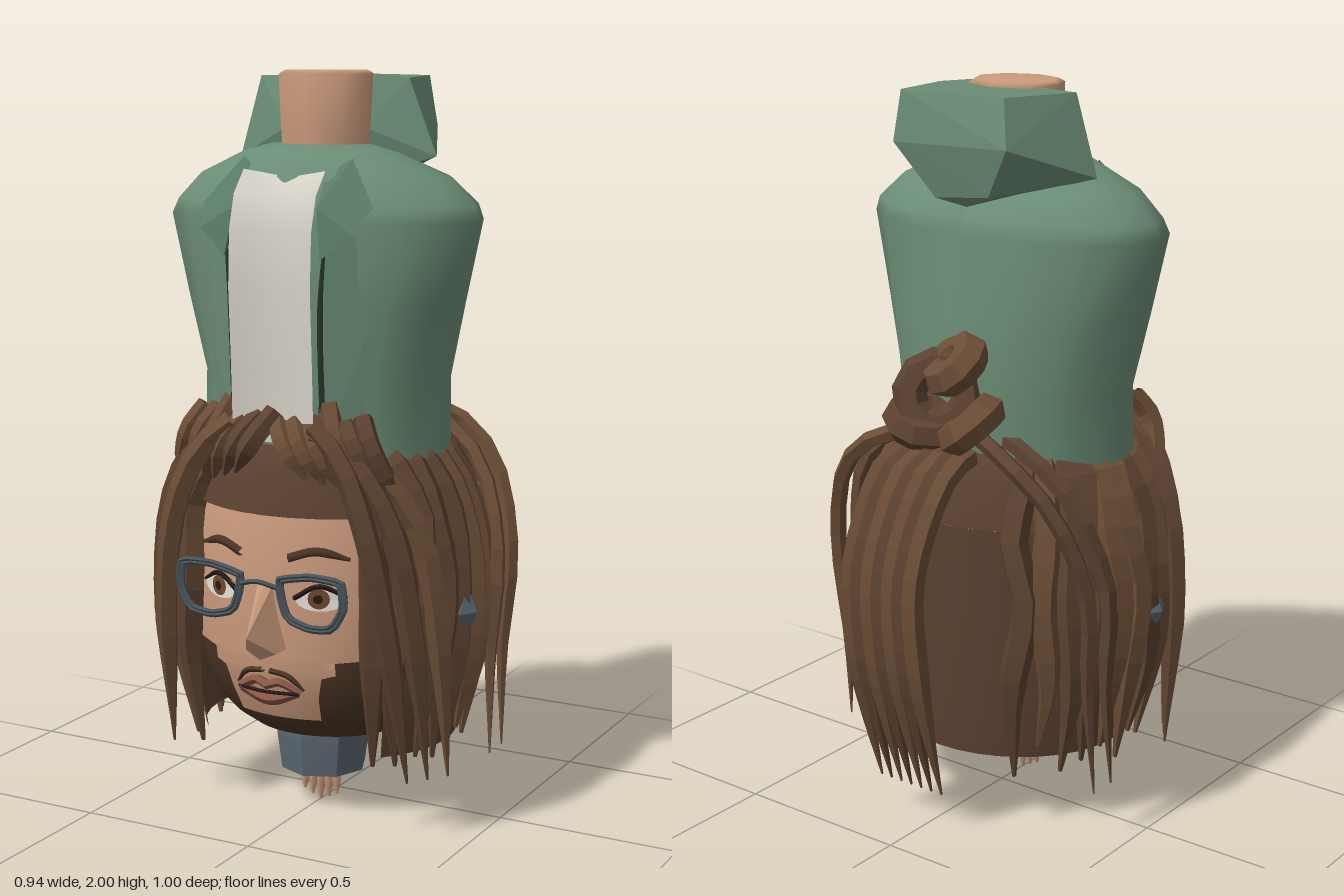
import * as THREE from 'three';
import { ConvexGeometry } from 'three/addons/geometries/ConvexGeometry.js';

const mat = (color, flatShading = false) =>
  new THREE.MeshStandardMaterial({ color, flatShading, side: THREE.DoubleSide });
const M = {
  skin: mat(0xcb9b7c), jacket: mat(0x6a8c75), hood: mat(0x6a8c75, true), lapel: mat(0x587a66, true),
  shirt: mat(0xd6d1c7), beard: mat(0x4a3425), cap: mat(0x5a4030), hairA: mat(0x5c4230, true),
  hairB: mat(0x6b4d36, true), metal: mat(0x47525a, true), collar: mat(0x5a6670, true),
  white: mat(0xe4ded6), iris: mat(0x70482c), dark: mat(0x241a16), lip: mat(0x8a5746), seam: mat(0x26332b),
};
const V = (p) => new THREE.Vector3(...p);
const lerp = THREE.MathUtils.lerp;

// Surface of rows x cols quads from a rule fn(u, row) -> [x, y, z]
function grid(rows, cols, fn) {
  const pos = [], idx = [], w = cols + 1;
  for (let i = 0; i < rows; i++) for (let j = 0; j <= cols; j++) {
    pos.push(...fn(j / cols, i));
    if (i < rows - 1 && j < cols) {
      const a = i * w + j;
      idx.push(a, a + 1, a + w + 1, a, a + w + 1, a + w);
    }
  }
  const g = new THREE.BufferGeometry();
  g.setAttribute('position', new THREE.Float32BufferAttribute(pos, 3));
  g.setIndex(idx);
  g.computeVertexNormals();
  return g;
}

// Elliptical rings [y, rx, zCentre, rz] joined bottom to top; angle 0 faces the front
const loft = (rings, n = 24, from = Math.PI, to = Math.PI * 3) => grid(rings.length, n, (u, i) => {
  const [y, rx, zc, rz] = rings[i], a = lerp(from, to, u);
  return [rx * Math.sin(a), y, zc + rz * Math.cos(a)];
});

// Tapered tube through a few points
function strand(pts, r, tip = 0.15, seg = 12, sides = 5) {
  const curve = new THREE.CatmullRomCurve3(pts.map(V));
  const g = new THREE.TubeGeometry(curve, seg, r, sides);
  const p = g.attributes.position, v = new THREE.Vector3();
  for (let i = 0; i < p.count; i++) {
    const t = Math.floor(i / (sides + 1)) / seg, c = curve.getPointAt(t);
    v.fromBufferAttribute(p, i).sub(c).multiplyScalar(t < 0.65 ? 1 : lerp(1, tip, (t - 0.65) / 0.35)).add(c);
    p.setXYZ(i, v.x, v.y, v.z);
  }
  g.computeVertexNormals();
  return g;
}

// Head profile factor by height, and depth of the face surface at x, y
const headF = (y) => Math.pow(Math.max(0, 1 - Math.pow(Math.abs((y - 0.65) / 0.45), 2.8)), 1 / 2.8);
const faceZ = (x, y) => {
  const f = headF(y);
  return 0.06 + 0.33 * f * Math.sqrt(Math.max(0, 1 - (x / (0.37 * f)) ** 2));
};
const headRings = (y0, y1, n, grow) => Array.from({ length: n + 1 }, (_, i) => {
  const y = lerp(y0, y1, i / n), f = headF(y);
  return [y, 0.37 * f * grow, 0.06, 0.33 * f * grow];
});

export function createModel() {
  const model = new THREE.Group();
  const add = (name, geo, material, parent = model) => {
    const m = new THREE.Mesh(geo, material);
    m.name = name;
    parent.add(m);
    return m;
  };
  const group = (name) => {
    const g = new THREE.Group();
    g.name = name;
    model.add(g);
    return g;
  };
  let seed = 7;
  const rnd = () => (seed = (seed * 16807) % 2147483647) / 2147483647;
  const hair = () => (rnd() < 0.5 ? M.hairA : M.hairB);

  // Upper body: jacket, neck stump and hood
  add('jacket', loft([[1.0, 0.35, 0.065, 0.26], [1.2, 0.345, 0.06, 0.268], [1.4, 0.395, 0.07, 0.265],
    [1.62, 0.452, 0.075, 0.25], [1.66, 0.435, 0.07, 0.243], [1.73, 0.36, 0.08, 0.2],
    [1.79, 0.22, 0.1, 0.13], [1.81, 0.14, 0.1, 0.1], [1.81, 0, 0.1, 0]], 16), M.jacket);
  add('neck', loft([[1.75, 0.12, 0.065, 0.11], [1.85, 0.13, 0.065, 0.115], [1.99, 0.137, 0.065, 0.118],
    [2.0, 0.12, 0.065, 0.1], [2.0, 0, 0.065, 0]], 8), M.skin);
  add('hood', new ConvexGeometry([[-0.23, 1.985, 0.01], [0.13, 1.99, 0.04], [0.22, 1.98, 0.02], [-0.15, 1.985, -0.19],
    [0.17, 1.985, -0.205], [-0.18, 1.86, -0.222], [0.19, 1.85, -0.215], [-0.29, 1.77, 0.02], [0.3, 1.78, 0.02],
    [-0.1, 1.73, -0.19], [0.08, 1.71, -0.18], [0, 1.69, -0.15], [0.12, 1.85, 0.07], [-0.12, 1.85, 0.07],
    [0.1, 1.72, 0.04], [-0.1, 1.72, 0.04]].map(V)), M.hood);

  // Shirt strip with the jacket edges and lapels beside it
  const shirt = [[1.05, 0.335], [1.25, 0.342], [1.45, 0.352], [1.6, 0.345], [1.69, 0.32], [1.75, 0.27]];
  add('shirt', grid(shirt.length, 6, (u, i) => {
    const x = lerp(-0.12, 0.12, u);
    return [x, shirt[i][0] - (i === 5 ? 0.02 * (1 - Math.abs(u * 2 - 1)) : 0), shirt[i][1] + 1.5 * x * x];
  }), M.shirt);
  for (const s of [-1, 1]) {
    add('jacketEdge', new ConvexGeometry([[s * 0.14, 1.05, 0.325], [s * 0.21, 1.05, 0.27], [s * 0.14, 1.4, 0.34],
      [s * 0.25, 1.4, 0.265], [s * 0.145, 1.58, 0.34], [s * 0.24, 1.6, 0.27]].map(V)), M.hood);
    add('jacketSeam', strand([[s * 0.132, 1.05, 0.325], [s * 0.132, 1.4, 0.342], [s * 0.145, 1.58, 0.342]], 0.008, 0.5), M.seam);
    add('lapel', new ConvexGeometry([[s * 0.1, 1.74, 0.25], [s * 0.16, 1.78, 0.22], [s * 0.25, 1.66, 0.28],
      [s * 0.22, 1.6, 0.345], [s * 0.14, 1.53, 0.36], [s * 0.12, 1.66, 0.34]].map(V)), M.lapel);
  }

  // Head, beard and the bare part of the face
  add('head', loft(headRings(0.2, 1.08, 20, 1), 28), M.skin);
  add('beard', loft(headRings(0.2, 0.56, 10, 1.02), 24, -1.7, 1.7), M.beard);
  const face = [[0.31, 0.12], [0.38, 0.13], [0.44, 0.145], [0.45, 0.18], [0.485, 0.18], [0.49, 0.26],
    [0.6, 0.265], [0.7, 0.265], [0.8, 0.25], [0.88, 0.23]];
  add('face', grid(face.length, 12, (u, i) => {
    const [y, w] = face[i], x = lerp(-w, w, u);
    return [x, y, faceZ(x, y) + 0.014];
  }), M.skin);
  add('nose', new ConvexGeometry([[-0.025, 0.7, 0.39], [0.025, 0.7, 0.39], [0, 0.68, 0.42], [0, 0.565, 0.5],
    [-0.06, 0.52, 0.39], [0.06, 0.52, 0.39], [0, 0.49, 0.43], [-0.045, 0.51, 0.425], [0.045, 0.51, 0.425]].map(V)), M.skin);

  // Points on the face surface, lifted a little
  const onFace = (x, y, lift = 0.02) => [x, y, faceZ(x, y) + lift];
  const disc = (name, x, y, rx, ry, lift, m) => add(name, grid(2, 20, (u, i) => {
    const a = u * Math.PI * 2;
    return onFace(x + i * rx * Math.cos(a), y + i * ry * Math.sin(a), lift);
  }), m);
  add('upperLip', strand([onFace(-0.09, 0.395), onFace(-0.03, 0.425), onFace(0, 0.415, 0.028),
    onFace(0.03, 0.425), onFace(0.09, 0.395)], 0.013, 0.6), M.lip);
  add('lowerLip', strand([onFace(-0.085, 0.395), onFace(0, 0.372, 0.028), onFace(0.085, 0.395)], 0.016, 0.6), M.lip);
  add('mouthLine', strand([onFace(-0.09, 0.396, 0.03), onFace(0, 0.398, 0.04), onFace(0.09, 0.396, 0.03)], 0.005, 1), M.dark);
  const glasses = group('glasses');
  const rim = [[0.055, 0.715], [0.15, 0.735], [0.245, 0.73], [0.255, 0.66], [0.22, 0.6], [0.15, 0.59], [0.08, 0.61], [0.06, 0.66]];
  for (const s of [-1, 1]) {
    add('moustache', strand([onFace(s * 0.01, 0.455), onFace(s * 0.06, 0.445), onFace(s * 0.1, 0.405)], 0.008, 0.4), M.beard);
    add('eyebrow', strand([onFace(s * 0.07, 0.765), onFace(s * 0.14, 0.785), onFace(s * 0.22, 0.765)], 0.012, 0.4), M.beard);
    disc('eyeWhite', s * 0.15, 0.66, 0.062, 0.032, 0.02, M.white);
    disc('iris', s * 0.15, 0.662, 0.027, 0.027, 0.024, M.iris);
    disc('pupil', s * 0.15, 0.662, 0.012, 0.012, 0.028, M.dark);
    add('eyelid', strand([onFace(s * 0.085, 0.66), onFace(s * 0.15, 0.695), onFace(s * 0.215, 0.665)], 0.007, 0.6), M.dark);
    // Doubled thin wire around each eye
    for (const k of [1, 0.88]) {
      add('rim', new THREE.TubeGeometry(new THREE.CatmullRomCurve3(rim.map(([x, y]) =>
        new THREE.Vector3(s * (0.155 + (x - 0.155) * k), 0.665 + (y - 0.665) * k, 0.428 + s * x * 0.03)),
      true, 'catmullrom', 0.2), 24, 0.007, 5, true), M.metal, glasses);
    }
    const stud = add('earOrnament', new THREE.OctahedronGeometry(0.07), M.collar);
    stud.position.set(s * 0.44, 0.6, 0.1);
    stud.scale.set(0.4, 1, 0.75);
  }
  add('bridge', strand([[-0.055, 0.69, 0.43], [0, 0.705, 0.445], [0.055, 0.69, 0.43]], 0.007, 1), M.metal, glasses);

  // Hair cap: long shell at the sides and back, crown above the forehead
  const crown = [[0.87, 0.37, 0.05, 0.352], [0.98, 0.325, 0.05, 0.325], [1.04, 0.26, 0.05, 0.28], [1.09, 0, 0.05, 0]];
  add('hairCrown', loft(crown, 32), M.cap);
  add('hairBack', loft([[0.215, 0.355, 0.045, 0.325], [0.35, 0.375, 0.05, 0.34], [0.6, 0.385, 0.05, 0.35], crown[0]],
    28, 0.85, Math.PI * 2 - 0.85), M.cap);

  // Thick locks hanging down both sides, each slightly wavy
  const locks = group('sideLocks');
  for (const s of [-1, 1]) for (let k = 0; k < 11; k++) {
    const a = lerp(0.74, 2.5, k / 10), j = rnd() * 0.012, w = (rnd() - 0.5) * 0.12;
    const at = (r, y, turn = 0) => [s * r * Math.sin(a + turn), y, 0.05 + (r * 0.9 + 0.005) * Math.cos(a + turn)];
    add('lock', strand([at(0.27, 1.03, -0.1), at(0.335, 0.98, -0.05), at(0.392, 0.85, w), at(0.412 + j, 0.68, -w),
      at(0.405 + j, 0.45, w), at(0.375, 0.16 + rnd() * 0.1, 0.03)], 0.041, 0.15), hair(), locks);
  }

  // Swept roots over the forehead and thin outer locks framing the face
  const fringe = group('fringe');
  for (const s of [-1, 1]) {
    for (let k = 0; k < 6; k++) {
      const x = 0.005 + k * 0.045;
      add('root', strand([[s * x, 1.1 + rnd() * 0.03 + (k === 3 ? 0.05 : 0), 0.33 - k * 0.006], [s * (x + 0.04), 1.06, 0.38 - k * 0.01],
        [s * (x + 0.1), 0.97 - k * 0.015, 0.372 - k * 0.02]], 0.03, 0.2, 8), hair(), fringe);
    }
    for (let k = 0; k < 3; k++) {
      add('frontLock', strand([[s * 0.12, 1.1 - k * 0.02, 0.35], [s * (0.21 + k * 0.02), 1.02, 0.375 - k * 0.03],
        [s * (0.285 + k * 0.045), 0.85, 0.385 - k * 0.06], [s * (0.33 + k * 0.045), 0.6, 0.36 - k * 0.06],
        [s * (0.36 + k * 0.035), 0.17, 0.29 - k * 0.05]], 0.033, 0.1), hair(), fringe);
    }
    // Loops from the bun out to the sides
    for (let k = 0; k < 2; k++) {
      add('loopLock', strand([[s * 0.08, 1.1, -0.21 + k * 0.06], [s * 0.22, 1.06, -0.26 + k * 0.09], [s * 0.35, 0.95, -0.25 + k * 0.09],
        [s * 0.43, 0.72, -0.2 + k * 0.09], [s * 0.42, 0.45, -0.18 + k * 0.08], [s * 0.43, 0.15, -0.16 + k * 0.08]], 0.024, 0.1), hair(), fringe);
    }
  }

  // Bun of coiled locks
  const bun = group('bun');
  for (const [x, y, z, r, rx, ry] of [[0.03, 1.2, -0.235, 0.08, 0.3, 0.5], [-0.02, 1.29, -0.225, 0.055, 0.9, -0.4],
    [0.07, 1.13, -0.24, 0.07, 1.3, 0.3], [-0.08, 1.14, -0.24, 0.06, 1.2, -0.6]]) {
    const coil = add('coil', new THREE.TorusGeometry(r, 0.048, 6, 10), hair(), bun);
    coil.position.set(x, y, z);
    coil.rotation.set(rx, ry, 0);
  }

  // Tail of parallel locks arching out behind
  const tail = group('tail');
  for (let k = 0; k < 7; k++) {
    const x = -0.09 + k * 0.035;
    add('tailLock', strand([[x * 0.8, 1.05, -0.24], [x, 1.03, -0.35], [x + 0.02, 0.9, -0.42], [x + 0.03, 0.74, -0.465],
      [x + 0.02, 0.52, -0.462], [x + 0.02, 0.32, -0.42], [x + 0.02, 0.12, -0.365]], 0.031, 0.1, 16), k % 2 ? M.hairA : M.hairB, tail);
  }

  // Grey band under the chin with small fingers below
  add('band', loft([[0.1, 0, 0.085, 0], [0.1, 0.12, 0.085, 0.12], [0.2, 0.135, 0.085, 0.13], [0.25, 0.14, 0.085, 0.13]], 8), M.collar);
  const fingers = group('fingers');
  for (let k = 0; k < 5; k++) {
    const x = -0.045 + k * 0.023;
    add('finger', strand([[x * 0.7, 0.13, 0.1], [x, 0.07, 0.1], [x * 1.1, 0.002 + 0.012 * Math.abs(k - 2), 0.105]], 0.014, 0.3, 6), M.skin, fingers);
  }
  return model;
}
